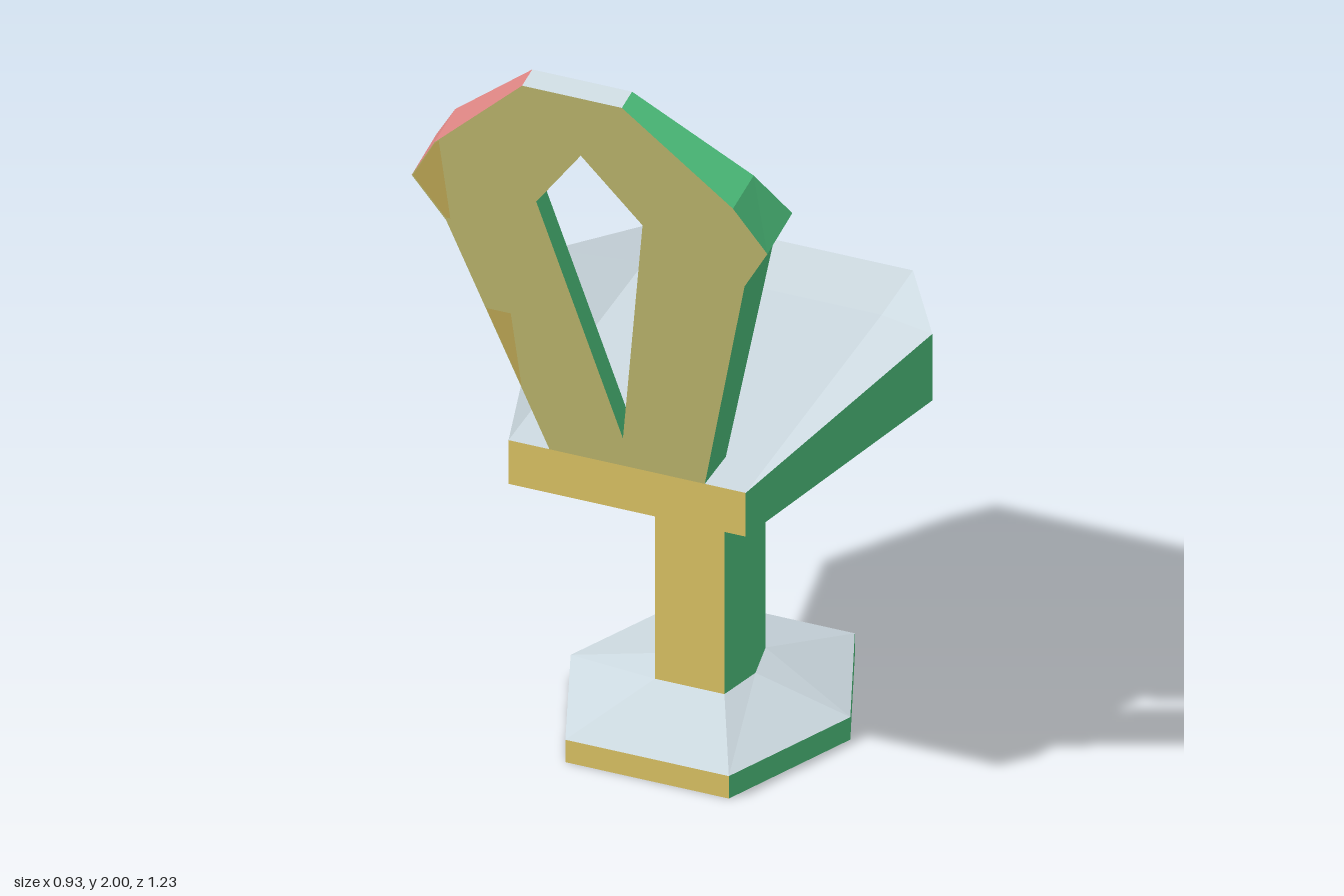
import * as THREE from 'three';

const mat = (name, color) => Object.assign(new THREE.MeshStandardMaterial({ color }), { name });

export function createModel() {
  const model = new THREE.Group();
  model.name = 'chair';
  const green = mat('green', 0x5de394), red = mat('dusty red', 0xde8684);
  const yellow = mat('yellow', 0xe4ca68), olive = mat('olive', 0xe1da83);
  const blue = mat('blue', 0x66b3da), grey = mat('light grey', 0xcfdce3);
  const dark = mat('charcoal', 0x505060);

  // Flat polygons (fans of corners) become one faceted mesh
  function facets(parent, name, material, polys) {
    const pos = [];
    for (const p of polys)
      for (let i = 1; i < p.length - 1; i++) pos.push(...p[0], ...p[i], ...p[i + 1]);
    const g = new THREE.BufferGeometry();
    g.setAttribute('position', new THREE.Float32BufferAttribute(pos, 3));
    g.computeVertexNormals();
    const m = new THREE.Mesh(g, material);
    m.name = name;
    parent.add(m);
  }
  const part = (name) => {
    const g = new THREE.Group();
    g.name = name;
    model.add(g);
    return g;
  };
  const mx = ([x, y, z]) => [-x, y, z];
  const flip = (poly) => [...poly].reverse();
  const mirror = (polys) => polys.map((p) => flip(p.map(mx)));

  // Symmetric hexagon from its three right-hand corners, front to back
  const ring = (half) => [...half, ...[...half].reverse().map(mx)];
  const hex = (a, b, z0, z1, z2, y) => ring([[a, y, z0], [b, y, z1], [a, y, z2]]);
  const bands = (lo, hi) => lo.map((p, i) => {
    const j = (i + 1) % 6;
    return [p, lo[j], hi[j], hi[i]];
  });
  function hexSides(parent, name, lo, hi) {
    const q = bands(lo, hi);
    facets(parent, name + 'LeftSide', green, [q[0], q[1]]);
    facets(parent, name + 'Back', blue, [q[2]]);
    facets(parent, name + 'RightSide', red, [q[3], q[4]]);
    facets(parent, name + 'Front', yellow, [q[5]]);
  }

  // Base plate with sloping top
  const base = part('base');
  const b0 = hex(0.2, 0.342, 0.2, -0.15, -0.495, 0);
  const b1 = hex(0.2, 0.342, 0.2, -0.15, -0.495, 0.058);
  const p0 = hex(0.085, 0.11, -0.035, -0.15, -0.262, 0.118);
  hexSides(base, 'base', b0, b1);
  facets(base, 'baseTop', grey, bands(b1, p0));
  facets(base, 'baseUnderside', dark, [flip(b0)]);

  // Post
  hexSides(part('post'), 'post', p0, hex(0.085, 0.11, -0.035, -0.15, -0.262, 0.83));

  // Dished seat: hexagonal rim around two lower inner points
  const seat = part('seat');
  const s0 = ring([[0.29, 0.757, 0.31], [0.465, 0.813, -0.325], [0.29, 0.813, -0.613]]);
  const s1 = ring([[0.29, 0.87, 0.31], [0.465, 0.985, -0.325], [0.29, 0.955, -0.613]]);
  const dish = (t, y) => {
    const c = [0.29, y, -0.44], d = mx(c);
    const wing = [[t[0], t[1], c], [t[1], t[2], c]];
    return [...wing, ...mirror(wing), [c, t[2], t[3], d], [t[0], c, d, t[5]]];
  };
  hexSides(seat, 'seat', s0, s1);
  facets(seat, 'seatTop', grey, dish(s1, 0.932));
  facets(seat, 'seatUnderside', dark, dish(s0, 0.808).map(flip));

  // Backrest: leaning outline with a kite-shaped opening (left half, bottom to top)
  const back = part('backrest');
  const lean = (y) => 0.31 + (y - 0.87) * 0.2723;
  const onFront = ([x, y]) => [x, y, lean(y)];
  const F = [[0.19, 0.87], [0.365, 1.515], [0.435, 1.632], [0.365, 1.75], [0.122, 1.988]].map(onFront);
  const B = [[0.19, 0.877, 0.195], [0.365, 1.555, 0.32], [0.435, 1.665, 0.38],
    [0.365, 1.775, 0.435], [0.122, 2, 0.558]];
  const hf = [[0, 0.955], [0.13, 1.635], [0, 1.81]].map(onFront);
  const hb = hf.map(([x, y, z]) => [x, y, z - 0.056]);
  const face = (o, h) => {
    const half = [[o[0], h[1], h[0]], [o[0], o[1], h[1]], [o[1], o[2], h[1]],
      [o[2], o[3], h[1]], [o[3], h[2], h[1]], [o[3], o[4], h[2]]];
    return [...half, ...mirror(half), [o[0], h[0], mx(o[0])], [o[4], mx(o[4]), h[2]]];
  };
  const strip = (a, b) => a.slice(1).map((p, i) => [a[i], b[i], b[i + 1], p]);
  const rim = strip(F, B), hole = strip(hb, hf);
  facets(back, 'backrestFront', olive, face(F, hf));
  facets(back, 'backrestBack', blue, face(B, hb).map(flip));
  facets(back, 'backrestLeftRim', green, rim);
  facets(back, 'backrestRightRim', red, mirror(rim));
  facets(back, 'openingLeftWall', red, hole);
  facets(back, 'openingRightWall', green, mirror(hole));
  facets(back, 'backrestTop', grey, [[F[4], B[4], mx(B[4]), mx(F[4])]]);

  // Small tinted patches on the front of the backrest
  const patches = [
    [[-0.295, 1.27], [-0.235, 1.05], [-0.235, 1.27]],
    [[-0.43, 1.635], [-0.363, 1.525], [-0.352, 1.525], [-0.352, 1.76], [-0.363, 1.75]],
  ].map((p) => p.map(onFront).map(([x, y, z]) => [x, y, z + 0.003]));
  facets(back, 'backrestPatches', yellow, patches);

  return model;
}
